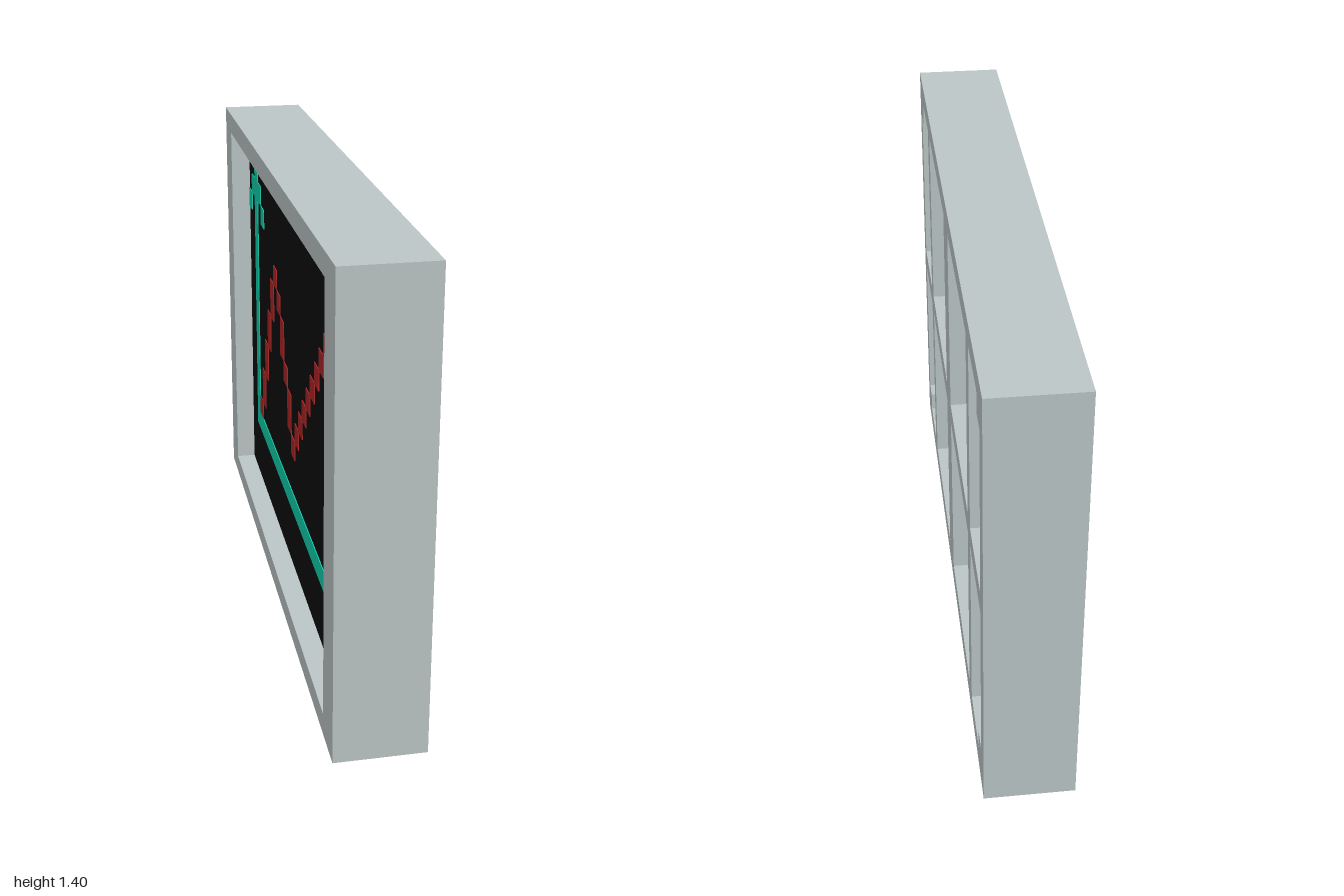
import * as THREE from 'three';
import { mergeGeometries } from 'three/addons/utils/BufferGeometryUtils.js';

const U = 1 / 15;            // one grid cell; the slab is 4 x 21 x 30 cells
const W = 30, H = 21;

const casing = new THREE.MeshStandardMaterial({ color: 0xbcc6c6 });
casing.name = 'casing grey';
const black = new THREE.MeshStandardMaterial({ color: 0x0e0e0e });
black.name = 'screen black';
const teal = new THREE.MeshStandardMaterial({ color: 0x12cfac });
teal.name = 'axis teal';
const red = new THREE.MeshStandardMaterial({ color: 0xad2626 });
red.name = 'line red';

function mesh(name, geometry, material) {
  const m = new THREE.Mesh(geometry, material);
  m.name = name;
  return m;
}

// One-cell-thick plate with holes, given as outlines in cells (horizontal, vertical)
function holedPlate(holes, side) {
  const points = list => list.map(([a, b]) => new THREE.Vector2((a - W / 2) * U, b * U));
  const shape = new THREE.Shape(points([[0, 0], [W, 0], [W, H], [0, H]]));
  for (const h of holes) shape.holes.push(new THREE.Path(points(h)));
  const g = new THREE.ExtrudeGeometry(shape, { depth: U, bevelEnabled: false });
  return g.translate(0, 0, U).rotateY(side * Math.PI / 2);
}

const rect = (a0, b0, a1, b1) => [[a0, b0], [a1, b0], [a1, b1], [a0, b1]];

// Thin tiles on the screen: each is [column, row, width, height] in cells
function tiles(cells, thickness) {
  return mergeGeometries(cells.map(([i, j, w = 1, h = 1]) =>
    new THREE.BoxGeometry(thickness, h * U, w * U)
      .translate(-U - thickness / 2, (j + h / 2) * U, (i + w / 2 - W / 2) * U)));
}

export function createModel() {
  const model = new THREE.Group();
  model.name = 'chartScreen';

  // Solid middle of the slab
  model.add(mesh('core', new THREE.BoxGeometry(2 * U, H * U, W * U).translate(0, H * U / 2, 0), casing));

  // Rim round the screen
  model.add(mesh('screenFrame', holedPlate([rect(2, 1, 28, 20)], -1), casing));

  // Ribbed back: four pockets per row, the outer ones notched at the corners
  const pockets = [rect(6, 1, 14, 10), rect(16, 1, 24, 10), rect(6, 11, 14, 20), rect(16, 11, 24, 20)];
  const notched = [[2, 1], [5, 1], [5, 10], [1, 10], [1, 2], [2, 2]];
  for (const mx of [false, true]) {
    for (const my of [false, true]) {
      pockets.push(notched.map(([a, b]) => [mx ? W - a : a, my ? H - b : b]));
    }
  }
  model.add(mesh('ribbedBack', holedPlate(pockets, 1), casing));

  // Screen panel
  model.add(mesh('screen', tiles([[2, 1, 26, 19]], 0.002), black));

  // Two axes with arrowheads
  const axes = [
    [4, 4, 1, 15], [5, 4, 22, 1],
    [3, 17], [5, 17], [2, 16], [6, 16],
    [25, 5], [25, 3], [24, 6], [24, 2],
  ];
  model.add(mesh('chartAxes', tiles(axes, 0.005), teal));

  // Chart line: steep rise, dip, then a long diagonal climb with a hooked end
  const line = [[5, 5], [10, 14], [11, 13], [12, 11, 1, 2], [13, 10], [14, 8, 1, 2], [15, 7], [26, 16]];
  for (let i = 6; i <= 9; i++) line.push([i, 2 * i - 6, 1, 2]);
  for (let i = 16; i <= 25; i++) line.push([i, i - 8]);
  model.add(mesh('chartLine', tiles(line, 0.005), red));

  return model;
}
